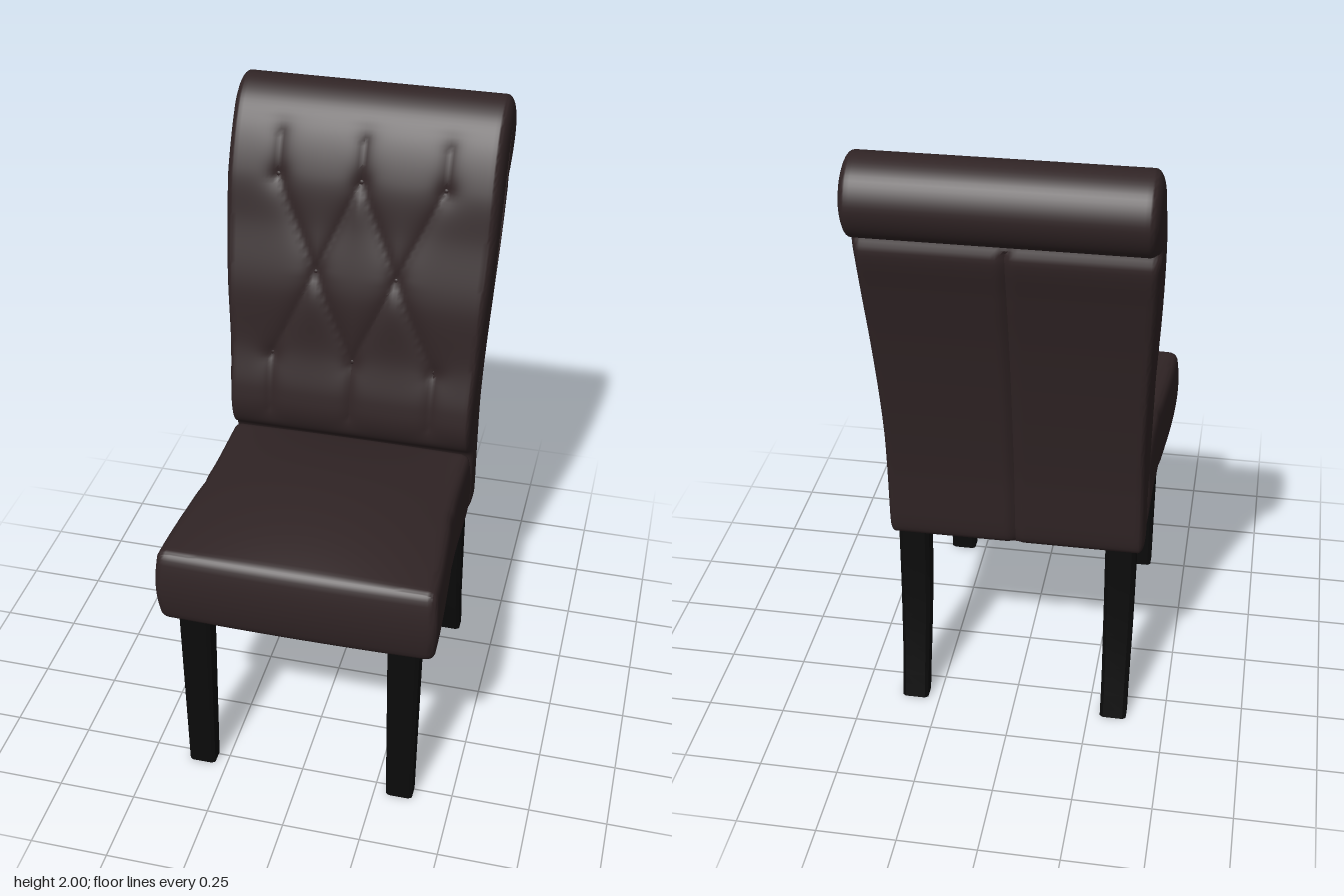
import * as THREE from 'three';
import { mergeVertices, toCreasedNormals } from 'three/addons/utils/BufferGeometryUtils.js';

const fabric = new THREE.MeshStandardMaterial({ name: 'brown upholstery', color: 0x302425 });
const wood = new THREE.MeshStandardMaterial({ name: 'black wood', color: 0x0b0b0b });
const lining = new THREE.MeshStandardMaterial({ name: 'olive lining', color: 0x3a301e });
const { smoothstep, clamp } = THREE.MathUtils;

function add(group, name, geometry, material) {
  const mesh = new THREE.Mesh(geometry, material);
  mesh.name = name;
  group.add(mesh);
  return mesh;
}

// Skin over rings of equal length, with both ends closed by triangle lists
function skin(rings, cap) {
  const n = rings[0].length, index = [];
  for (let i = 0; i < rings.length - 1; i++) {
    for (let j = 0; j < n; j++) {
      const a = i * n + j, b = i * n + (j + 1) % n;
      index.push(a, a + n, b + n, a, b + n, b);
    }
  }
  const last = (rings.length - 1) * n;
  for (const [a, b, c] of cap) index.push(a, c, b, last + a, last + b, last + c);
  const g = new THREE.BufferGeometry();
  g.setAttribute('position', new THREE.Float32BufferAttribute(rings.flat(2), 3));
  g.setIndex(index);
  return g;
}

// Nearest point to (x, y) on the segment a-b, with its distance
function nearest(x, y, [ax, ay], [bx, by]) {
  const ex = bx - ax, ey = by - ay;
  const t = clamp(((x - ax) * ex + (y - ay) * ey) / (ex * ex + ey * ey), 0, 1);
  const px = ax + t * ex, py = ay + t * ey;
  return { px, py, d: Math.hypot(x - px, y - py) };
}

// Tufting: buttons, with folds running between them
const buttons = [[-0.265, 1.75], [0, 1.75], [0.265, 1.75], [-0.13, 1.46], [0.13, 1.46],
  [-0.265, 1.17], [0, 1.17], [0.265, 1.17]];
const folds = [];
for (const b of buttons) {
  if (b[1] === 1.46) {
    for (const o of buttons) {
      if (o[1] !== 1.46 && Math.abs(o[0] - b[0]) < 0.2) folds.push([b, o]);
    }
  } else folds.push([b, [b[0], b[1] > 1.5 ? 1.87 : 0.98]]);
}
function tuft(x, y) {
  const fold = Math.min(...folds.map(([a, b]) => nearest(x, y, a, b).d));
  const button = Math.min(...buttons.map(([a, b]) => Math.hypot(x - a, y - b)));
  return 0.013 * Math.exp(-fold / 0.025) + 0.014 * Math.exp(-button / 0.025);
}

// Scroll-top backrest: one side profile carried across the width, with domed ends
function backrestGeometry() {
  const outline = [[-0.19, 0.64], [-0.19, 0.86], [-0.14, 0.91], [-0.119, 0.97], [-0.125, 1.05],
    [-0.16, 1.2], [-0.185, 1.4], [-0.238, 1.6], [-0.275, 1.76], [-0.34, 1.9], [-0.40, 1.97],
    [-0.475, 2.0], [-0.555, 1.965], [-0.592, 1.88], [-0.56, 1.795], [-0.49, 1.756], [-0.452, 1.745],
    [-0.464, 1.70], [-0.435, 1.56], [-0.40, 1.4], [-0.365, 1.2], [-0.325, 0.9], [-0.305, 0.65],
    [-0.295, 0.63], [-0.2, 0.63]];
  const spine = [[-0.25, 0.68], [-0.235, 1.0], [-0.29, 1.4], [-0.36, 1.7], [-0.47, 1.88]];
  const curve = new THREE.CatmullRomCurve3(outline.map(([z, y]) => new THREE.Vector3(0, y, z)), true);
  const pts = curve.getSpacedPoints(220).slice(0, 220);
  const points = pts.map((p, i) => {
    const a = pts[(i + 219) % 220], b = pts[(i + 1) % 220];
    const core = spine.slice(1).map((s, k) => nearest(p.z, p.y, spine[k], s))
      .reduce((m, c) => (c.d < m.d ? c : m));
    return { y: p.y, z: p.z, core, facing: (b.y - a.y) / Math.hypot(b.z - a.z, b.y - a.y) };
  });

  // Stations: side, shrink towards the spine, share of the end bulge
  const end = side => [...Array(9).keys()].map(i => {
    const t = (i / 8) * Math.PI / 2;
    return [side, 0.6 * (1 - Math.cos(t)), Math.sin(t)];
  });
  const middle = [...Array(63).keys()].map(i => [-1 + (i + 1) / 32, 0, 0]);
  const stations = [...end(-1).reverse(), ...middle, ...end(1)];

  const rings = stations.map(([s, shrink, bulge]) => points.map(({ y, z, core, facing }) => {
    const rise = smoothstep(y, 0.95, 1.75);
    const x = s * (0.386 + 0.02 * rise + bulge * (0.02 + 0.009 * rise));
    let depth = z;
    if (facing > 0.3 && y > 0.93 && y < 1.92) depth -= tuft(x, y);
    if (facing < -0.5 && y < 1.72) depth += 0.012 * Math.exp(-((x / 0.012) ** 2));
    return [x, y + (core.py - y) * shrink, depth + (core.px - depth) * shrink];
  }));
  const flat = rings[0].map(([, y, z]) => new THREE.Vector2(-z, y));
  const cap = THREE.ShapeUtils.triangulateShape(flat, []).map(([a, b, c]) => {
    const A = flat[a], B = flat[b], C = flat[c];
    return (B.x - A.x) * (C.y - A.y) - (B.y - A.y) * (C.x - A.x) > 0 ? [a, b, c] : [a, c, b];
  });
  return toCreasedNormals(skin(rings, cap), 0.75);
}

// Seat: box with rounded edges, domed top, swollen sides and a wider front
function seatGeometry() {
  const g = new THREE.BoxGeometry(2, 2, 2, 36, 16, 36);
  g.deleteAttribute('normal');
  g.deleteAttribute('uv');
  const seat = mergeVertices(g), pos = seat.attributes.position;
  const half = new THREE.Vector3(0.41, 0.13, 0.375), r = 0.025;
  const v = new THREE.Vector3(), core = new THREE.Vector3();
  const inner = half.clone().subScalar(r);
  for (let i = 0; i < pos.count; i++) {
    v.fromBufferAttribute(pos, i);
    const [u, h, w] = v.toArray();
    // Gather the grid towards the edges before rounding
    v.set(...[u, h, w].map(k => Math.sin(k * Math.PI / 2))).multiply(half);
    core.copy(v).clamp(inner.clone().negate(), inner);
    v.sub(core);
    if (v.lengthSq() > 0) v.setLength(r);
    v.add(core);
    const swell = 1 - (v.y / half.y) ** 2;
    const a = v.x / half.x, c = v.z / half.z;
    if (h > 0) v.y += 0.052 * (1 - a * a) * (1 - c * c) * Math.max(0, v.y / half.y);
    v.x *= 0.97 + 0.075 * smoothstep(c, -0.5, 1) + 0.028 * swell;
    v.x -= Math.sign(a) * 0.006 * Math.exp(-(((v.z + 0.02) / 0.02) ** 2)) * Math.abs(a) ** 8;
    if (c > 0) v.z += (0.02 * swell - 0.008 * a * a) * c ** 6;
    pos.setXYZ(i, v.x, v.y + 0.75, v.z + 0.197);
  }
  return toCreasedNormals(seat, 0.6);
}

// Leg: chamfered square sections [y, z centre, half x, half z] from foot to top
function legGeometry(sections) {
  const k = 0.75;
  const square = [[1, k], [k, 1], [-k, 1], [-1, k], [-1, -k], [-k, -1], [k, -1], [1, -k]];
  const rings = sections.map(([y, z, hx, hz]) => square.map(([a, b]) => [a * hx, y, z + b * hz]));
  const cap = [1, 2, 3, 4, 5, 6].map(i => [0, i + 1, i]);
  return toCreasedNormals(skin(rings, cap), 0.45);
}

export function createModel() {
  const chair = new THREE.Group();
  chair.name = 'diningChair';
  add(chair, 'seat', seatGeometry(), fabric);
  add(chair, 'backrest', backrestGeometry(), fabric);

  // Small covered buttons in the tufts
  const frontZ = { 1.17: -0.155, 1.46: -0.2, 1.75: -0.272 };
  for (const [x, y] of buttons) {
    const b = add(chair, 'button', new THREE.SphereGeometry(0.009, 12, 8), fabric);
    b.position.set(x, y, frontZ[y] - 0.024);
    b.scale.z = 0.6;
  }

  // Lining under the seat
  const under = add(chair, 'undersideLining', new THREE.BoxGeometry(0.74, 0.006, 0.66), lining);
  under.position.set(0, 0.619, 0.19);

  // Straight front legs and swept rear legs
  const front = legGeometry([[0, 0.515, 0.043, 0.03], [0.64, 0.5, 0.05, 0.04]]);
  const rear = legGeometry([[0, -0.333, 0.043, 0.03], [0.08, -0.315, 0.043, 0.031],
    [0.18, -0.293, 0.044, 0.033], [0.3, -0.273, 0.046, 0.035], [0.42, -0.259, 0.047, 0.037],
    [0.54, -0.25, 0.048, 0.039], [0.66, -0.247, 0.048, 0.04]]);
  for (const side of [-1, 1]) {
    add(chair, 'frontLeg', front, wood).position.x = side * 0.332;
    add(chair, 'rearLeg', rear, wood).position.x = side * 0.332;
  }
  return chair;
}
